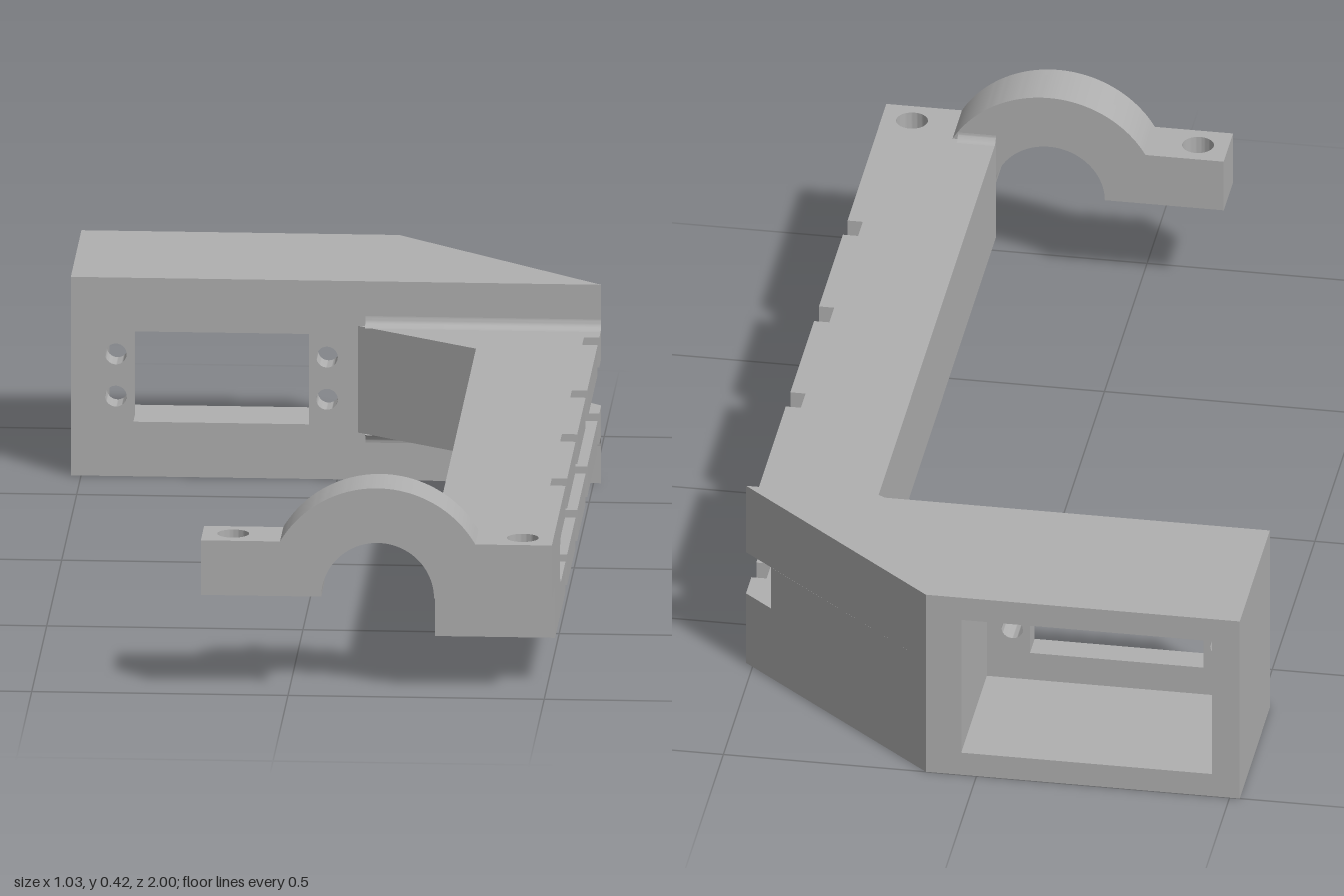
import * as THREE from 'three';
import { toCreasedNormals } from 'three/addons/utils/BufferGeometryUtils.js';

const grey = new THREE.MeshStandardMaterial({ color: 0xb0b0b0 });
grey.name = 'plain grey';

// Main levels and planes
const ARM_LOW = 0.095, ARM_TOP = 0.31, SLOT_LOW = 0.157, SLOT_TOP = 0.25;
const RIGHT = 0.515, SLOT_FLOOR = 0.415, NOTCH_FLOOR = 0.485;
const WALL = -0.645, PLATE_BACK = -0.7, ARM_END = 0.89;

const poly = (pts) => new THREE.Shape(pts.map(([a, b]) => new THREE.Vector2(a, b)));
const rect = (x0, y0, x1, y1) => poly([[x0, y0], [x1, y0], [x1, y1], [x0, y1]]);
const circle = (x, y, r) => {
  const p = new THREE.Path();
  p.absarc(x, y, r, 0, Math.PI * 2, true);
  return p;
};

export function createModel() {
  const model = new THREE.Group();
  model.name = 'mountingBracket';

  function add(name, geometry) {
    const mesh = new THREE.Mesh(geometry, grey);
    mesh.name = name;
    model.add(mesh);
  }
  const extrude = (shape, depth) =>
    new THREE.ExtrudeGeometry(shape, { depth, bevelEnabled: false, curveSegments: 28 });

  // Extrude an x,y shape along z
  const alongZ = (name, shape, z0, z1) =>
    add(name, toCreasedNormals(extrude(shape, z1 - z0).translate(0, 0, z0), 0.5));
  // Extrude a plan shape, drawn as x,-z, upwards
  const alongY = (name, shape, y0, y1) =>
    add(name, toCreasedNormals(extrude(shape, y1 - y0).rotateX(-Math.PI / 2).translate(0, y0, 0), 0.5));
  // Extrude a side shape, drawn as -z,y, along x
  const alongX = (name, shape, x0, x1) =>
    add(name, toCreasedNormals(extrude(shape, x1 - x0).rotateY(Math.PI / 2).translate(x0, 0, 0), 0.5));
  const plan = (pts) => poly(pts.map(([x, z]) => [x, -z]));

  // Housing: front plate with window and screw holes
  const plate = rect(-0.52, 0, 0.06, 0.4);
  plate.holes.push(rect(-0.398, 0.11, -0.055, 0.292));
  for (const x of [-0.432, -0.02])
    for (const y of [0.161, 0.246]) plate.holes.push(circle(x, y, 0.021));
  alongZ('housingFrontPlate', plate, PLATE_BACK, WALL);

  // Housing: walls round the cavity, open at the back
  const walls = rect(-0.52, 0, 0.06, 0.4);
  walls.holes.push(rect(-0.465, 0.05, 0.03, 0.35));
  alongZ('housingWalls', walls, -1, PLATE_BACK);

  // Housing: solid slanted end, in layers so that the slot can run into it
  const wedge = [[0.06, -1], [0.1, -1], [RIGHT, WALL], [0.06, WALL]];
  const slotted = [[0.06, -1], [0.1, -1], [0.457, -0.695], [SLOT_FLOOR, -0.695],
    [SLOT_FLOOR, WALL], [0.06, WALL]];
  alongY('housingEndLower', plan(wedge), 0, SLOT_LOW);
  alongY('housingEndMiddle', plan(slotted), SLOT_LOW, SLOT_TOP);
  alongY('housingEndUpper', plan(wedge), SLOT_TOP, 0.4);

  // Arm core with its triangular gusset
  alongY('armCore', plan([[0.28, ARM_END], [SLOT_FLOOR, ARM_END], [SLOT_FLOOR, WALL],
    [0.04, WALL], [0.28, -0.485]]), ARM_LOW, ARM_TOP);

  // Slotted side of the arm: closed with a round end at the front
  function slottedSide(zBack) {
    const r = (SLOT_TOP - SLOT_LOW) / 2, mid = (SLOT_TOP + SLOT_LOW) / 2;
    const s = new THREE.Shape();
    s.moveTo(-ARM_END, ARM_LOW);
    s.lineTo(-zBack, ARM_LOW);
    s.lineTo(-zBack, SLOT_LOW);
    s.lineTo(-0.69, SLOT_LOW);
    s.absarc(-0.69, mid, r, -Math.PI / 2, -Math.PI * 1.5, true);
    s.lineTo(-zBack, SLOT_TOP);
    s.lineTo(-zBack, ARM_TOP);
    s.lineTo(-ARM_END, ARM_TOP);
    return s;
  }
  alongX('armSlotSide', slottedSide(WALL), SLOT_FLOOR, NOTCH_FLOOR);

  // Outer lips, broken by four notches
  alongX('armFrontLip', slottedSide(0.545), NOTCH_FLOOR, RIGHT);
  for (const [z0, z1] of [[0.21, 0.49], [-0.125, 0.153], [-0.525, -0.18], [WALL, -0.582]]) {
    alongX('armLowerLip', rect(-z1, ARM_LOW, -z0, SLOT_LOW), NOTCH_FLOOR, RIGHT);
    alongX('armUpperLip', rect(-z1, SLOT_TOP, -z0, ARM_TOP), NOTCH_FLOOR, RIGHT);
  }

  // Concave fillets where a wall meets a level face
  function fillet(name, x0, x1, z, dz, y, dy, r) {
    const pts = [[-z, y]];
    for (let i = 0; i <= 8; i++) {
      const a = (i / 8) * Math.PI / 2;
      pts.push([-(z + dz * r * (1 - Math.sin(a))), y + dy * r * (1 - Math.cos(a))]);
    }
    alongX(name, poly(pts), x0, x1);
  }
  fillet('upperFillet', 0.055, RIGHT, WALL, 1, ARM_TOP, 1, 0.02);
  fillet('lowerFillet', 0.055, RIGHT, WALL, 1, ARM_LOW, -1, 0.02);
  fillet('clampFillet', 0.28, 0.355, ARM_END, -1, ARM_TOP, 1, 0.015);

  // Clamp: half-round arch
  const cx = 0.175, base = 0.2, outer = 0.22, start = Math.PI / 6;
  const arch = new THREE.Shape();
  arch.moveTo(-0.05, base);
  arch.lineTo(cx - 0.11, base);
  arch.absarc(cx, base, 0.11, Math.PI, 0, true);
  arch.lineTo(0.4, base);
  arch.lineTo(0.4, ARM_TOP);
  arch.absarc(cx, base, outer, start, Math.PI - start, false);
  arch.lineTo(-0.05, ARM_TOP);
  alongZ('clampArch', arch, ARM_END, 1);

  // Clamp: ears with upright screw holes
  for (const [x0, x1, hole] of [[-0.17, -0.05, -0.11], [0.4, RIGHT, 0.455]]) {
    const ear = rect(x0, -1, x1, -ARM_END);
    ear.holes.push(circle(hole, -0.945, 0.031));
    alongY('clampEar', ear, base, ARM_TOP);
  }

  return model;
}
